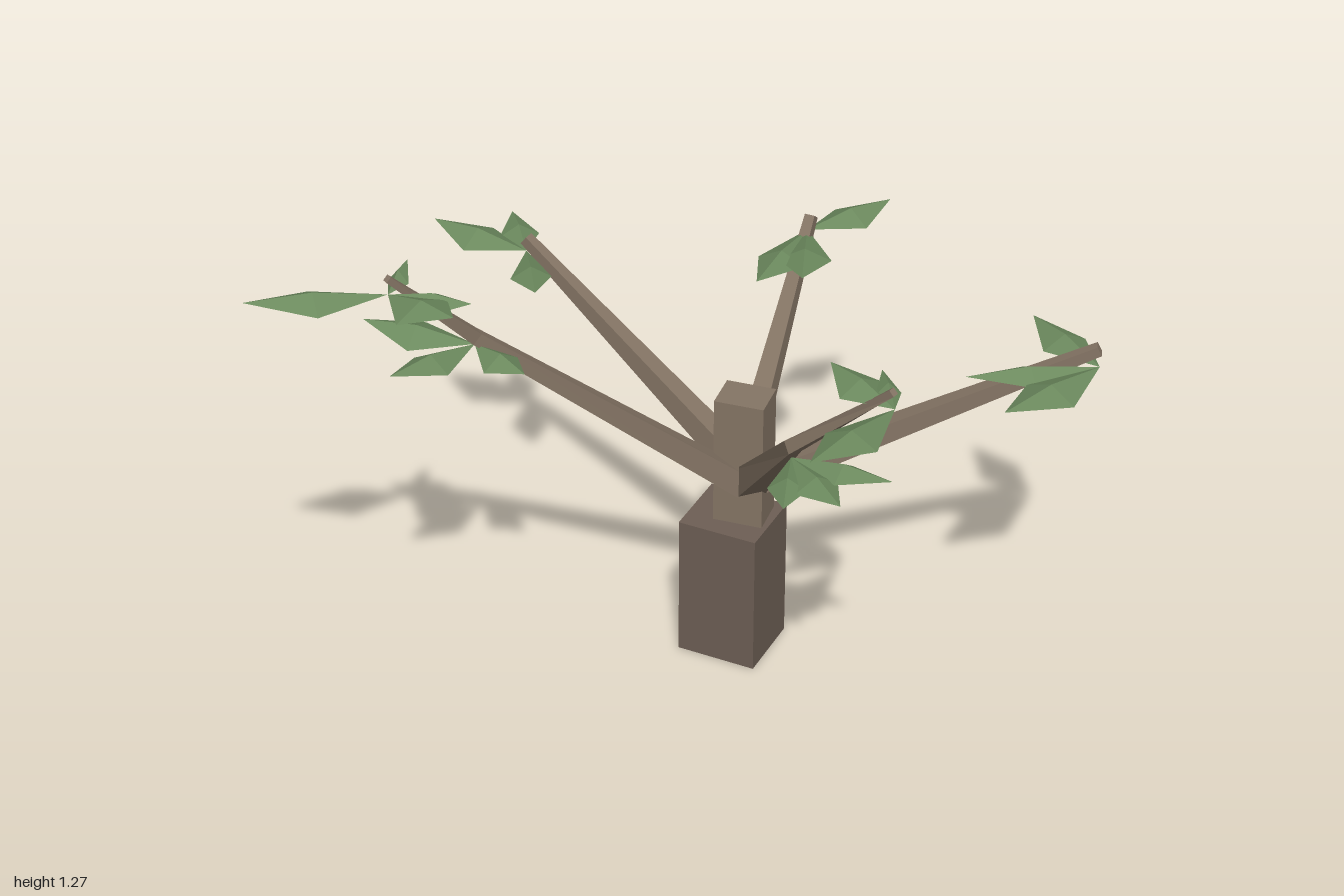
import * as THREE from 'three';

const V = (p) => new THREE.Vector3(...p);
const bark = new THREE.MeshStandardMaterial({ color: 0x857565, flatShading: true });
const darkBark = new THREE.MeshStandardMaterial({ color: 0x6e5f55, flatShading: true });
const green = new THREE.MeshStandardMaterial({ color: 0x6c8a5e, flatShading: true, side: THREE.DoubleSide });

// Square tapering limb: each ring of a four-sided cylinder is moved to a path point
function limb(points, radii) {
  const path = points.map(V);
  const last = path.length - 1;
  const geo = new THREE.CylinderGeometry(1, 1, 1, 4, last);
  const pos = geo.attributes.position;
  const frames = path.map((p, i) => {
    const t = path[Math.min(i + 1, last)].clone().sub(path[Math.max(i - 1, 0)]).normalize();
    const s = new THREE.Vector3(0, 1, 0).cross(t).normalize();
    return { s, n: s.clone().cross(t) };
  });
  const v = new THREE.Vector3();
  for (let k = 0; k < pos.count; k++) {
    v.fromBufferAttribute(pos, k).applyAxisAngle(new THREE.Vector3(0, 1, 0), Math.PI / 4);
    const i = Math.round((v.y + 0.5) * last);
    const p = path[i].clone()
      .addScaledVector(frames[i].s, v.x * radii[i])
      .addScaledVector(frames[i].n, v.z * radii[i]);
    pos.setXYZ(k, p.x, p.y, p.z);
  }
  geo.computeVertexNormals();
  return new THREE.Mesh(geo, bark);
}

// Folded diamond leaf with a raised midrib and drooping side points
function leaf(base, tip, width) {
  const b = V(base), t = V(tip);
  const side = t.clone().sub(b).cross(new THREE.Vector3(0, 1, 0)).normalize();
  const mid = b.clone().lerp(t, 0.52);
  const l = mid.clone().addScaledVector(side, -width / 2);
  const r = mid.clone().addScaledVector(side, width / 2);
  l.y -= 0.015;
  r.y -= 0.015;
  mid.y += 0.016;
  const tris = [b, mid, l, l, mid, t, b, r, mid, mid, r, t];
  const geo = new THREE.BufferGeometry().setFromPoints(tris);
  geo.computeVertexNormals();
  const mesh = new THREE.Mesh(geo, green);
  mesh.name = 'leaf';
  return mesh;
}

export function createModel() {
  const tree = new THREE.Group();
  tree.name = 'tree';

  // Trunk: two blocks standing corner forward
  const block = (name, w, d, y0, y1, x, z, turn, mat) => {
    const m = new THREE.Mesh(new THREE.BoxGeometry(w, y1 - y0, d), mat);
    m.position.set(x, (y0 + y1) / 2, z);
    m.rotation.y = turn;
    m.name = name;
    tree.add(m);
  };
  block('lowerTrunk', 0.204, 0.187, 0, 0.38, 0.188, -0.1, -0.82, darkBark);
  block('upperTrunk', 0.124, 0.1, 0.38, 0.72, 0.213, -0.093, -0.7, bark);

  // Branches
  const branches = {
    leftBranch: [[[0.2, 0.48, -0.08], [-0.46, 1.045, -0.07], [-0.67, 1.265, -0.025]], [0.042, 0.022, 0.011]],
    backLeftBranch: [[[0.21, 0.51, -0.11], [-0.17, 0.975, -0.57]], [0.045, 0.018]],
    backRightBranch: [[[0.23, 0.52, -0.12], [0.497, 1.005, -0.375]], [0.04, 0.018]],
    rightBranch: [[[0.24, 0.475, -0.09], [0.953, 0.9, 0.28]], [0.045, 0.018]],
    frontBranch: [[[0.22, 0.475, -0.08], [0.143, 0.87, 0.36], [0.28, 1.115, 0.585]], [0.048, 0.023, 0.012]],
  };
  for (const [name, [points, radii]] of Object.entries(branches)) {
    const b = limb(points, radii);
    b.name = name;
    tree.add(b);
  }

  // Leaf clusters: attachment point, then tip and width of each leaf
  const clusters = {
    leftTipLeaves: [[-0.67, 1.225, -0.025],
      [[-0.99, 1.255, -0.055], 0.12], [[-0.58, 1.255, 0.17], 0.15], [[-0.51, 1.225, 0.08], 0.1], [[-0.6, 1.26, -0.1], 0.05]],
    leftMiddleLeaves: [[-0.46, 1.022, -0.075],
      [[-0.675, 1.045, -0.235], 0.13], [[-0.395, 1.02, 0.085], 0.1], [[-0.695, 1.055, 0.04], 0.11]],
    backLeftLeaves: [[-0.17, 0.94, -0.57],
      [[-0.335, 0.95, -0.785], 0.13], [[-0.145, 0.95, -0.75], 0.1], [[-0.218, 0.945, -0.365], 0.1]],
    backRightLeaves: [[0.49, 0.965, -0.38],
      [[0.745, 0.96, -0.455], 0.12], [[0.37, 0.99, -0.13], 0.13], [[0.27, 0.98, -0.17], 0.12]],
    rightLeaves: [[0.957, 0.85, 0.28],
      [[0.92, 0.845, 0.005], 0.12], [[0.63, 0.87, 0.235], 0.1], [[0.64, 0.88, 0.42], 0.14]],
    frontTipLeaves: [[0.285, 1.07, 0.585],
      [[0, 1.12, 0.78], 0.13], [[0.225, 1.08, 0.37], 0.12], [[0.305, 1.1, 0.47], 0.06]],
    frontMiddleLeaves: [[0.14, 0.84, 0.36],
      [[0.05, 0.83, 0.53], 0.09], [[0.165, 0.84, 0.58], 0.11], [[0.3, 0.86, 0.56], 0.09]],
  };
  for (const [name, [base, ...leaves]] of Object.entries(clusters)) {
    const g = new THREE.Group();
    g.name = name;
    for (const [tip, width] of leaves) g.add(leaf(base, tip, width));
    tree.add(g);
  }
  return tree;
}
